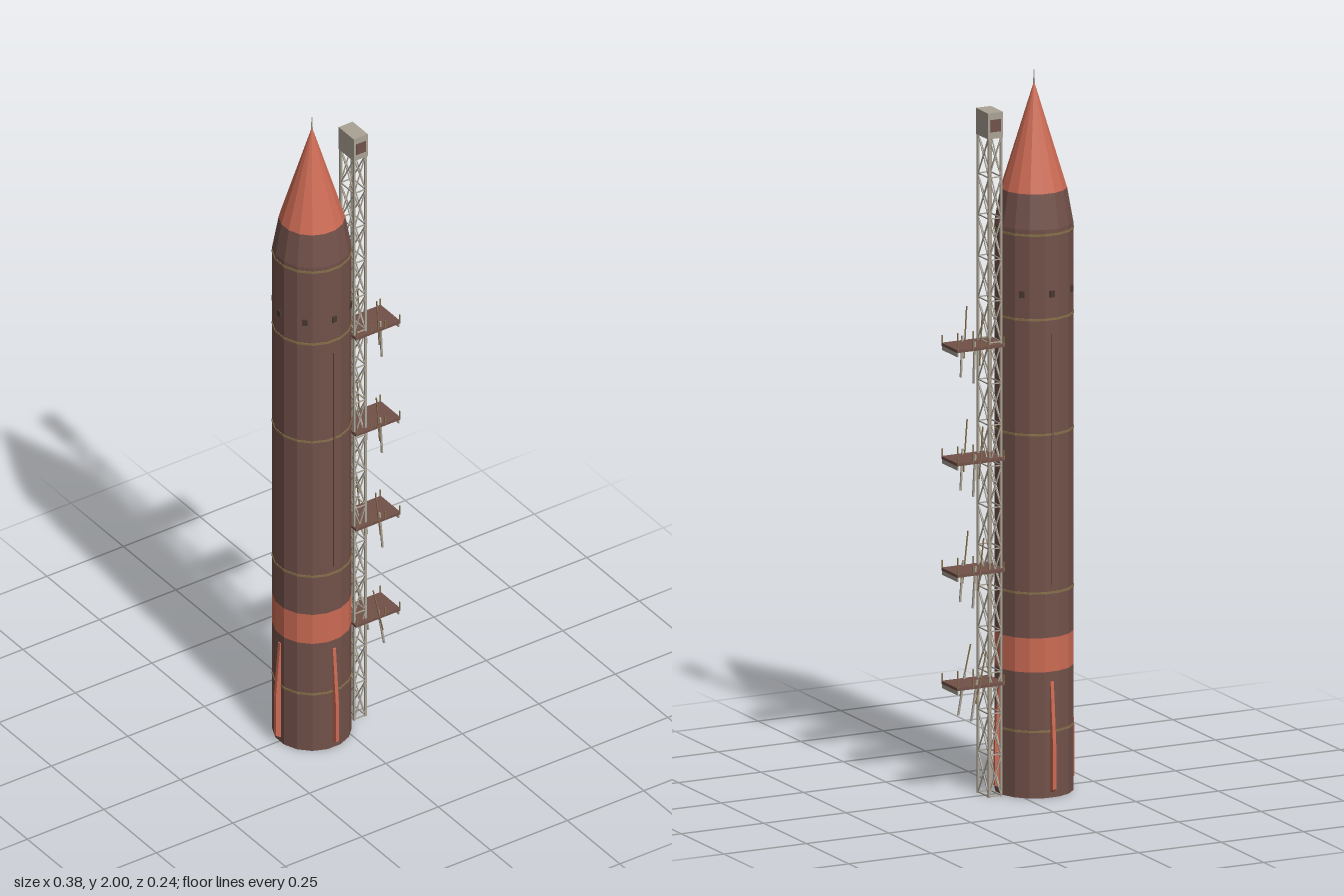
import * as THREE from 'three';

const mat = (name, color, flat = true) => {
  const m = new THREE.MeshStandardMaterial({ color, flatShading: flat });
  m.name = name;
  return m;
};

export function createModel() {
  const brown = mat('hull brown', 0x72514a);
  const orange = mat('signal orange', 0xcc6b54);
  const olive = mat('brass olive', 0x86704a);
  const grey = mat('tower grey', 0xaaa294);
  const dark = mat('dark brown', 0x4a3832);

  const root = new THREE.Group();
  root.name = 'rocketWithTower';
  const add = (parent, name, geo, material, x = 0, y = 0, z = 0) => {
    const m = new THREE.Mesh(geo, material);
    m.name = name;
    m.position.set(x, y, z);
    parent.add(m);
    return m;
  };
  const box = (parent, name, w, h, d, material, x, y, z) =>
    add(parent, name, new THREE.BoxGeometry(w, h, d), material, x, y, z);
  // Square bar between two points
  const bar = (parent, name, a, b, t, material) => {
    const p = new THREE.Vector3(...a), q = new THREE.Vector3(...b);
    const m = add(parent, name, new THREE.BoxGeometry(t, t, p.distanceTo(q)), material);
    m.position.copy(p).add(q).multiplyScalar(0.5);
    m.lookAt(q);
    return m;
  };

  // ---- Rocket ----
  const rocket = new THREE.Group();
  rocket.name = 'rocket';
  rocket.position.x = -0.07;
  const R = 0.107, SIDES = 16;
  const section = (name, y0, y1, r0, r1, material, open = true) => {
    const g = new THREE.CylinderGeometry(r1, r0, y1 - y0, SIDES, 1, open);
    g.rotateY(Math.PI / SIDES);
    add(rocket, name, g, material, 0, (y0 + y1) / 2, 0);
  };
  section('tailSection', 0, 0.35, R, R, brown, false);
  section('orangeBand', 0.35, 0.445, R, R, orange);
  section('mainBody', 0.445, 1.58, R, R, brown);
  section('shoulder', 1.58, 1.675, R, 0.09, brown);
  section('noseCone', 1.675, 1.962, 0.09, 0.002, orange, false);
  add(rocket, 'noseSpike', new THREE.CylinderGeometry(0.0015, 0.0025, 0.045, 6), grey, 0, 1.9775, 0);
  for (const y of [0.185, 0.57, 1.01, 1.33, 1.565])
    section('seamRing', y - 0.003, y + 0.003, R + 0.0018, R + 0.0018, olive, false);

  // Small thruster blocks around the upper stage
  for (let i = 0; i < 8; i++) {
    const a = (i * Math.PI) / 4;
    const b = box(rocket, 'thrusterBlock', 0.014, 0.018, 0.006, dark, Math.sin(a) * 0.106, 1.4, Math.cos(a) * 0.106);
    b.rotation.y = a;
  }
  // Cable ducts on front and back
  for (const s of [1, -1])
    box(rocket, 'cableDuct', 0.005, 0.7, 0.005, brown, 0, 0.94, s * 0.106);

  // Four tail fins
  const fin = new THREE.Shape([
    [0.1, 0.325], [0.107, 0.322], [0.113, 0.25], [0.121, 0.15], [0.121, 0.025], [0.1, 0.012],
  ].map(p => new THREE.Vector2(...p)));
  const finGeo = new THREE.ExtrudeGeometry(fin, { depth: 0.01, bevelEnabled: false });
  finGeo.translate(0, 0, -0.005);
  for (let i = 0; i < 4; i++) add(rocket, 'tailFin', finGeo, orange).rotation.y = (i * Math.PI) / 2;
  root.add(rocket);

  // ---- Lattice tower ----
  const tower = new THREE.Group();
  tower.name = 'tower';
  const X0 = 0.046, X1 = 0.083, Z = 0.032, TOP = 1.835, BAYS = 16;
  const corners = [[X0, Z], [X1, Z], [X1, -Z], [X0, -Z]];
  for (const [x, z] of corners) box(tower, 'towerLeg', 0.006, TOP, 0.006, grey, x, TOP / 2, z);
  for (let i = 0; i < BAYS; i++) {
    const y0 = (i * TOP) / BAYS + 0.003, y1 = ((i + 1) * TOP) / BAYS;
    corners.forEach(([xa, za], k) => {
      const [xb, zb] = corners[(k + 1) % 4];
      bar(tower, 'crossBrace', [xa, y0, za], [xb, y1, zb], 0.0028, grey);
      bar(tower, 'crossBrace', [xb, y0, zb], [xa, y1, za], 0.0028, grey);
      bar(tower, 'towerRung', [xa, y0, za], [xb, y0, zb], 0.003, grey);
    });
  }
  // Cabin on top with a window on each broad side
  box(tower, 'topCabin', 0.046, 0.072, 0.072, grey, 0.065, 1.868, 0);
  for (const s of [1, -1])
    box(tower, 'cabinWindow', 0.03, 0.034, 0.003, brown, 0.065, 1.868, s * 0.0365);
  root.add(tower);

  // ---- Service platforms ----
  for (const y of [0.32, 0.635, 0.945, 1.26]) {
    const p = new THREE.Group();
    p.name = 'servicePlatform';
    p.position.y = y;
    box(p, 'deck', 0.145, 0.008, 0.094, brown, 0.1145, -0.004, 0);
    box(p, 'endBeam', 0.004, 0.014, 0.09, grey, 0.184, -0.013, 0);
    for (const s of [1, -1]) {
      const z = s * 0.046;
      bar(p, 'handRail', [0.042, 0.021, z], [0.187, 0.021, z], 0.003, olive);
      for (const x of [0.045, 0.091, 0.138, 0.185])
        bar(p, 'railPost', [x, -0.004, z], [x, 0.021, z], 0.003, olive);
      bar(p, 'supportStrut', [X1, -0.075, s * Z], [0.178, -0.01, s * 0.042], 0.005, grey);
    }
    // Arm joining the platform to the rocket
    box(p, 'umbilicalArm', 0.02, 0.008, 0.008, olive, 0.037, -0.006, -0.024);
    root.add(p);
  }
  return root;
}
